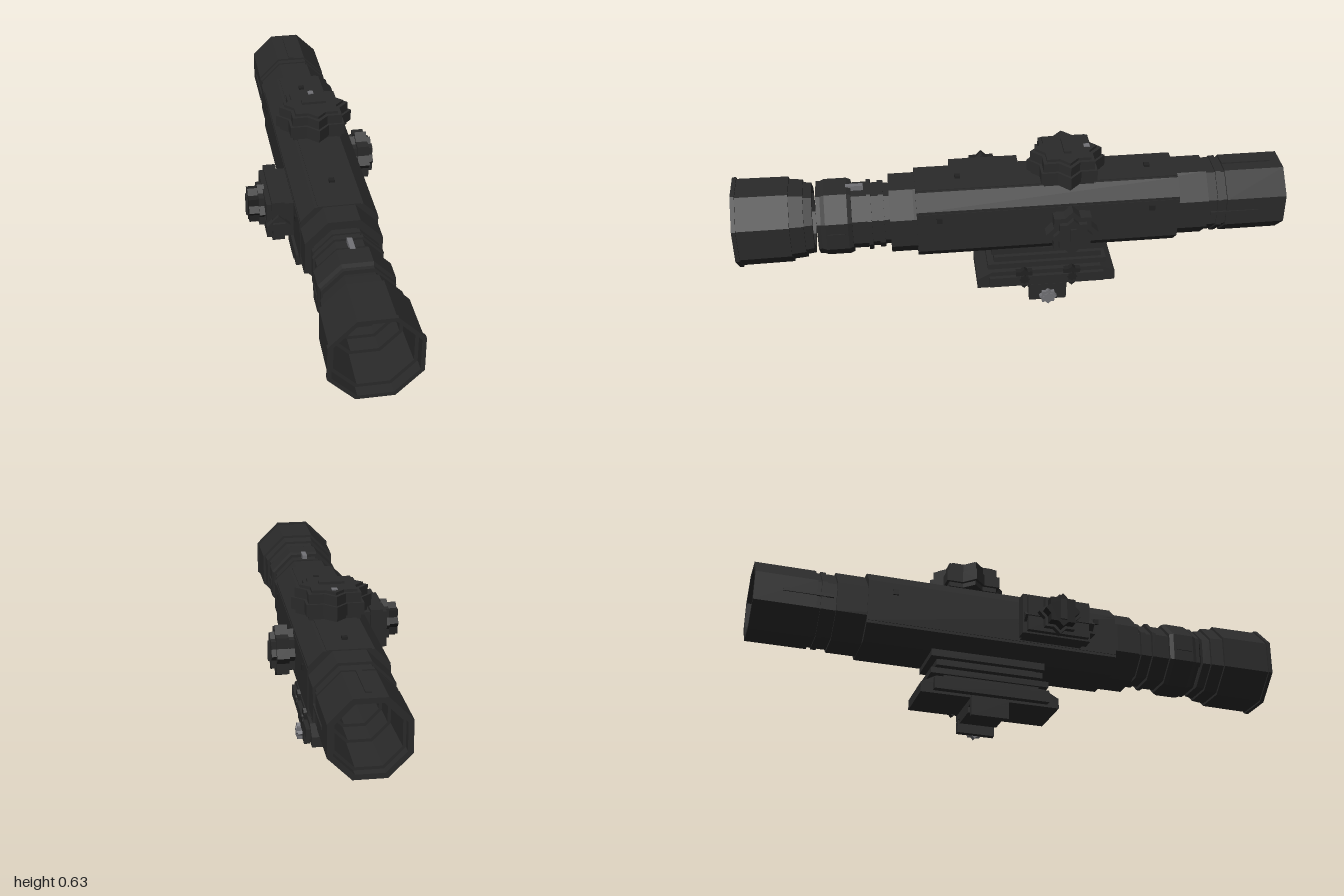
import * as THREE from 'three';

const CX = 0.034, CY = 0.382; // optical axis

export function createModel() {
  const root = new THREE.Group();
  root.name = 'opticalSight';
  const mat = (name, color) => {
    const m = new THREE.MeshStandardMaterial({ color });
    m.name = name;
    return m;
  };
  const black = mat('matte black', 0x2a2a2a);
  const dark = mat('dark black', 0x212121);
  const steel = mat('steel grey', 0x727276);

  // Faceted mesh helper
  const add = (name, geo, m = black, parent = root) => {
    const g = geo.index ? geo.toNonIndexed() : geo;
    g.computeVertexNormals();
    const mesh = new THREE.Mesh(g, m);
    mesh.name = name;
    parent.add(mesh);
    return mesh;
  };
  // Box given by its min and max on each axis
  const box = (name, x0, x1, y0, y1, z0, z1, m = black) => {
    const b = add(name, new THREE.BoxGeometry(x1 - x0, y1 - y0, z1 - z0), m);
    b.position.set((x0 + x1) / 2, (y0 + y1) / 2, (z0 + z1) / 2);
    return b;
  };
  // Octagonal tube: closed loop of [z, flat radius], outside ascending, inside descending
  const octTube = (name, loop, m = black) => {
    const k = 1 / Math.cos(Math.PI / 8);
    const pts = [...loop, loop[0]].map(([z, r]) => new THREE.Vector2(r * k, z));
    const g = new THREE.LatheGeometry(pts, 8, Math.PI / 8);
    g.rotateX(Math.PI / 2);
    add(name, g, m).position.set(CX, CY, 0);
  };
  // Eight-pointed star disc (two crossed squares), from height h0 to h1 along its local z
  const starDisc = (name, parent, R, h0, h1, m = black) => {
    const s = new THREE.Shape();
    for (let i = 0; i < 16; i++) {
      const r = i % 2 ? R * 0.765 : R, a = i * Math.PI / 8;
      s[i ? 'lineTo' : 'moveTo'](r * Math.cos(a), r * Math.sin(a));
    }
    const g = new THREE.ExtrudeGeometry(s, { depth: h1 - h0, bevelEnabled: false });
    g.translate(0, 0, h0);
    return add(name, g, m, parent);
  };
  const group = (name, x, y, z, rx, ry) => {
    const g = new THREE.Group();
    g.name = name;
    g.position.set(x, y, z);
    g.rotation.set(rx, ry, 0);
    root.add(g);
    return g;
  };

  // Eyepiece, separated from the tube by a narrow gap
  octTube('eyepiece', [
    [0.72, 0.12], [0.75, 0.124], [0.75, 0.133], [0.8, 0.137], [0.8, 0.146], [0.985, 0.148],
    [0.985, 0.154], [1, 0.154], [1, 0.14], [0.96, 0.14], [0.96, 0.128], [0.82, 0.124],
    [0.82, 0.112], [0.76, 0.112], [0.76, 0.1], [0.72, 0.1],
  ]);
  // Main tube with stepped bore
  octTube('mainTube', [
    [-1, 0.132], [-0.78, 0.132], [-0.78, 0.125], [-0.765, 0.125], [-0.765, 0.131], [-0.745, 0.131],
    [-0.745, 0.126], [-0.71, 0.126], [-0.71, 0.135], [0.36, 0.135], [0.445, 0.135], [0.445, 0.105],
    [0.465, 0.105], [0.465, 0.115], [0.485, 0.115], [0.485, 0.109], [0.51, 0.109], [0.51, 0.121],
    [0.525, 0.121], [0.525, 0.113], [0.58, 0.113], [0.58, 0.124], [0.595, 0.13], [0.675, 0.13],
    [0.69, 0.124], [0.705, 0.124], [0.705, 0.1], [0.65, 0.1], [0.65, 0.09], [0.5, 0.09], [0.5, 0.08],
    [-0.7, 0.08], [-0.7, 0.09], [-0.8, 0.09], [-0.8, 0.1], [-0.97, 0.104], [-0.97, 0.114], [-1, 0.114],
  ]);

  // Chamfered housing around the middle of the tube
  const outline = (r, t) => [[r, -t], [r, t], [t, r], [-t, r], [-r, t], [-r, -t], [-t, -r], [t, -r]]
    .map(([x, y]) => new THREE.Vector2(x, y));
  const housing = new THREE.Shape(outline(0.136, 0.085));
  housing.holes.push(new THREE.Path(outline(0.11, 0.046)));
  const hg = new THREE.ExtrudeGeometry(housing, { depth: 0.95, bevelEnabled: false });
  add('housing', hg).position.set(CX, CY, -0.6);
  // Long raised panels on top and sides
  box('topPanel', CX - 0.075, CX + 0.075, CY + 0.13, CY + 0.139, -0.6, 0.35);
  for (const s of [-1, 1]) {
    const x = CX + s * 0.135;
    box('sidePanel', x - 0.003, x + 0.003, CY - 0.075, CY + 0.075, -0.6, 0.35);
    for (const z of [-0.5, 0.27]) box('sideScrew', x - 0.009, x + 0.009, 0.42, 0.44, z - 0.01, z + 0.01, dark);
    box('rearSideRib', CX + s * 0.132 - 0.004, CX + s * 0.132 + 0.004, 0.376, 0.388, -0.9, -0.72);
    box('gripRib', CX + s * 0.13 - 0.004, CX + s * 0.13 + 0.004, 0.37, 0.394, 0.605, 0.67);
  }
  for (const z of [-0.5, 0.195]) box('topScrew', CX - 0.01, CX + 0.01, 0.515, 0.53, z - 0.01, z + 0.01, dark);
  box('rearTopRib', CX - 0.01, CX + 0.01, 0.505, 0.519, -0.96, -0.78);
  box('indexMark', CX - 0.009, CX + 0.009, 0.49, 0.514, 0.535, 0.598, steel);

  // Top adjustment turret
  const top = group('topTurret', CX, 0, -0.2, -Math.PI / 2, 0);
  starDisc('turretBase', top, 0.128, 0.518, 0.54);
  starDisc('turretRim', top, 0.143, 0.535, 0.578);
  starDisc('turretCap', top, 0.13, 0.578, 0.612);
  starDisc('turretTop', top, 0.112, 0.612, 0.622);
  box('turretSlotBar', CX - 0.045, CX + 0.045, 0.615, 0.631, -0.213, -0.187);
  box('turretMark', CX - 0.01, CX + 0.01, 0.618, 0.626, -0.285, -0.264, steel);

  // Side adjustment turret
  const side = group('sideTurret', 0, CY, -0.2, 0, Math.PI / 2);
  starDisc('turretNeck', side, 0.078, 0.16, 0.196);
  starDisc('turretRim', side, 0.095, 0.193, 0.237);
  starDisc('turretCap', side, 0.07, 0.237, 0.254);
  box('turretSlotBar', 0.25, 0.262, 0.346, 0.416, -0.21, -0.19);

  // Battery box and knob on the other side
  box('batteryBox', -0.2, -0.1, 0.312, 0.45, -0.03, 0.205);
  box('batteryStrap', -0.182, -0.137, 0.305, 0.462, -0.045, 0.215);
  box('batteryFrontPlate', -0.182, -0.137, 0.34, 0.385, 0.21, 0.236);
  const diamond = box('batteryDiamond', -0.19, -0.13, 0.34, 0.4, -0.04, 0.226);
  diamond.rotation.z = Math.PI / 4;
  const knob = group('batteryKnob', 0, CY, 0.085, 0, -Math.PI / 2);
  starDisc('knobBase', knob, 0.08, 0.195, 0.22);
  starDisc('knobGrip', knob, 0.066, 0.22, 0.255, dark);
  box('knobBar', -0.262, -0.25, 0.342, 0.422, 0.073, 0.097);

  // Foot of the housing, above the mount gap
  box('footUpper', -0.057, 0.123, 0.225, 0.262, -0.35, 0.08);
  box('footNeck', -0.035, 0.1, 0.205, 0.23, -0.31, 0.05);
  box('footLower', -0.057, 0.123, 0.191, 0.213, -0.33, 0.072);
  box('footSideTab', 0.12, 0.126, 0.232, 0.247, -0.16, -0.1);

  // Rail mount
  box('mountTopPlate', -0.057, 0.123, 0.158, 0.18, -0.35, 0.095);
  box('mountNeck', -0.048, 0.1, 0.14, 0.16, -0.3, 0.06);
  const wedge = new THREE.Shape([[-0.385, 0.08], [0.135, 0.08], [0.135, 0.118], [0.08, 0.148], [-0.33, 0.148], [-0.385, 0.118]]
    .map(([z, y]) => new THREE.Vector2(-z, y)));
  const wg = new THREE.ExtrudeGeometry(wedge, { depth: 0.186, bevelEnabled: false });
  wg.rotateY(Math.PI / 2);
  add('mountBody', wg).position.x = -0.056;
  box('mountLeftFlange', -0.08, -0.05, 0.09, 0.135, -0.34, 0.09);
  box('mountRightFlange', 0.125, 0.145, 0.09, 0.13, -0.34, 0.09);
  box('mountBottomPlate', -0.068, 0.14, 0.057, 0.085, -0.2, -0.06);
  box('mountLug', -0.023, 0.088, 0.035, 0.06, -0.2, -0.06);
  box('leftJaw', -0.068, -0.047, 0.01, 0.078, -0.2, -0.06);
  box('rightJaw', 0.113, 0.135, 0.01, 0.078, -0.2, -0.06);
  for (const z of [-0.04, -0.22]) {
    const bolt = group('clampBolt', 0, 0.117, z, 0, Math.PI / 2);
    starDisc('boltHead', bolt, 0.044, 0.118, 0.14, dark);
    starDisc('boltCentre', bolt, 0.02, 0.14, 0.147, dark);
  }
  const nut = group('clampNut', 0, 0.033, -0.13, 0, Math.PI / 2);
  starDisc('nutHead', nut, 0.033, 0.132, 0.153, steel);
  starDisc('nutCentre', nut, 0.021, 0.153, 0.157, steel);

  return root;
}
